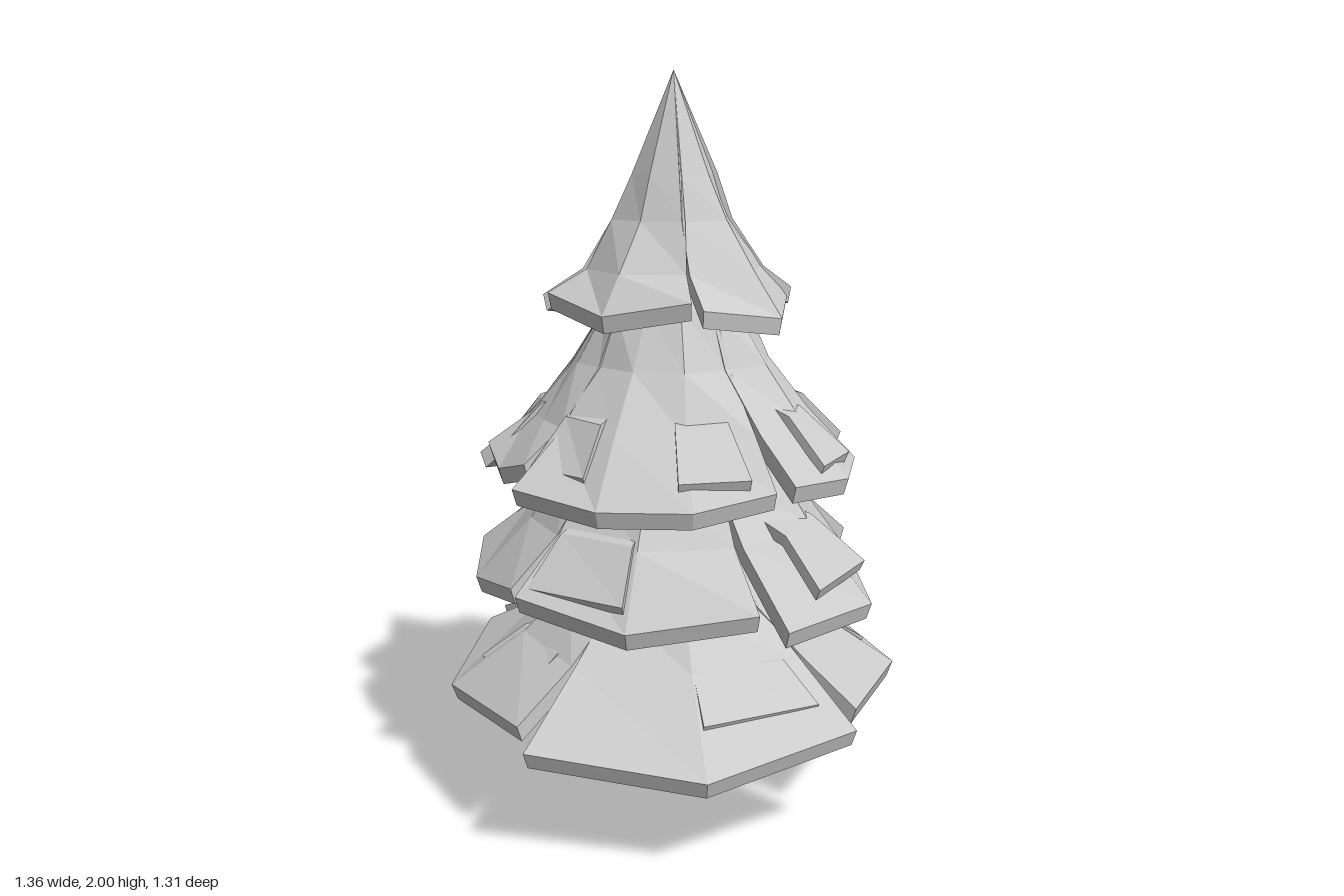
import * as THREE from 'three';

const material = new THREE.MeshStandardMaterial({ color: 0xcccccc, flatShading: true, side: THREE.DoubleSide });
const { degToRad, lerp } = THREE.MathUtils;

const polar = (a, r, y) => new THREE.Vector3(r * Math.cos(a), y, r * Math.sin(a));

// Thick faceted bough: a rim arc (0 deg = +x, 90 deg = +z) swept up through [radius, y] rows
function bough({ from, to, segments, r0, r1, y, sag = 0.04, rows, thick = 0.045, spread = 0.07 }) {
  const steps = Array.from({ length: segments + 1 }, (_, i) => i / segments);
  const outer = [steps.map((t) =>
    polar(degToRad(lerp(from, to, t)), lerp(r0, r1, t), y + sag * (Math.abs(2 * t - 1) - 0.5)))];
  // upper rows widen a little so that neighbouring boughs overlap
  rows.forEach(([r, rowY], k) => {
    const widen = spread * Math.min(1, k * 0.6 + 0.4);
    outer.push(steps.map((t) => {
      const a = degToRad(lerp(from, to, t));
      const p = polar(a + widen * (2 * t - 1), r * (1 + 0.04 * Math.sin(a * 5 + k * 2)), rowY);
      p.x -= 0.01;
      return p;
    }));
  });
  const inner = outer.map((row) => row.map((p) => new THREE.Vector3(p.x * 0.975, p.y - thick, p.z * 0.975)));

  const pos = [];
  const quad = (a, b, c, d) => [a, b, c, a, c, d].forEach((p) => pos.push(p.x, p.y, p.z));
  const n = segments;
  for (let i = 0; i < n; i++) {
    quad(inner[0][i], outer[0][i], outer[0][i + 1], inner[0][i + 1]);
    for (let k = 0; k < rows.length; k++) {
      quad(outer[k][i], outer[k + 1][i], outer[k + 1][i + 1], outer[k][i + 1]);
      quad(inner[k][i + 1], inner[k + 1][i + 1], inner[k + 1][i], inner[k][i]);
    }
  }
  for (let k = 0; k < rows.length; k++) {
    quad(outer[k][0], inner[k][0], inner[k + 1][0], outer[k + 1][0]);
    quad(outer[k + 1][n], inner[k + 1][n], inner[k][n], outer[k][n]);
  }
  const g = new THREE.BufferGeometry();
  g.setAttribute('position', new THREE.Float32BufferAttribute(pos, 3));
  g.computeVertexNormals();
  const mesh = new THREE.Mesh(g, material);
  mesh.name = 'bough';
  return mesh;
}

// Small flat spray laid over the boughs
function spray(deg, { width, r, y, lift }) {
  const half = THREE.MathUtils.radToDeg(width / r / 2);
  const mesh = bough({
    from: deg - half, to: deg + half, segments: 1, r0: r, r1: r, y, sag: 0,
    rows: [[r * 0.76, y + lift], [r * 0.4, y + lift * 1.5]], thick: 0.03, spread: 0,
  });
  mesh.name = 'spray';
  return mesh;
}

// A ring of boughs, each [from, to, segments, start radius, end radius, height], with even sprays
function makeTier(name, rows, arcs, sprays) {
  const tier = new THREE.Group();
  tier.name = name;
  for (const [from, to, segments, r0, r1, y] of arcs) {
    tier.add(bough({ from, to, segments, r0, r1, y, rows }));
  }
  for (let i = 0; sprays && i < sprays.count; i++) {
    tier.add(spray(sprays.start + (i * 360) / sprays.count, sprays));
  }
  return tier;
}

export function createModel() {
  const tree = new THREE.Group();
  tree.name = 'tree';

  // Tapered six-sided trunk with a flared foot
  const profile = [[0, 0], [0.13, 0], [0.092, 0.2], [0.07, 0.4], [0.06, 0.68], [0, 0.68]];
  const trunk = new THREE.Mesh(
    new THREE.LatheGeometry(profile.map(([r, y]) => new THREE.Vector2(r, y)), 6, 0.25), material);
  trunk.name = 'trunk';
  trunk.position.set(-0.01, 0, -0.01);
  tree.add(trunk);

  // Four tiers, widest at the bottom
  tree.add(makeTier('bottomTier', [[0.44, 0.46], [0.29, 0.585], [0.05, 0.78]], [
    [-4, 83, 2, 0.68, 0.61, 0.325],
    [88, 168, 2, 0.65, 0.7, 0.295],
    [173, 251, 2, 0.655, 0.645, 0.335],
    [260, 349, 2, 0.67, 0.61, 0.34],
  ], { count: 4, start: 20, width: 0.34, r: 0.56, y: 0.375, lift: 0.09 }));

  tree.add(makeTier('lowerTier', [[0.41, 0.79], [0.29, 0.95], [0.05, 1.12]], [
    [25, 107, 2, 0.54, 0.61, 0.6],
    [113, 182, 2, 0.57, 0.57, 0.64],
    [187, 239, 2, 0.55, 0.59, 0.645],
    [241, 288, 1, 0.6, 0.57, 0.63],
    [290, 380, 2, 0.595, 0.56, 0.645],
  ], { count: 4, start: 75, width: 0.3, r: 0.54, y: 0.68, lift: 0.125 }));

  tree.add(makeTier('upperTier', [[0.39, 1.08], [0.27, 1.23], [0.19, 1.38], [0.04, 1.55]], [
    [15, 99, 3, 0.5, 0.52, 0.945],
    [104, 182, 3, 0.5, 0.57, 0.93],
    [187, 220, 2, 0.5, 0.525, 0.975],
    [223, 266, 2, 0.55, 0.52, 0.94],
    [273, 369, 3, 0.53, 0.5, 0.955],
  ], { count: 7, start: 20, width: 0.19, r: 0.49, y: 0.99, lift: 0.12 }));

  tree.add(makeTier('topTier', [[0.25, 1.48], [0.165, 1.61], [0.115, 1.73], [0, 2]], [
    [32, 123, 2, 0.32, 0.345, 1.38],
    [128, 207, 2, 0.34, 0.36, 1.4],
    [215, 300, 2, 0.365, 0.335, 1.39],
    [309, 399, 2, 0.36, 0.32, 1.4],
  ]));
  return tree;
}
